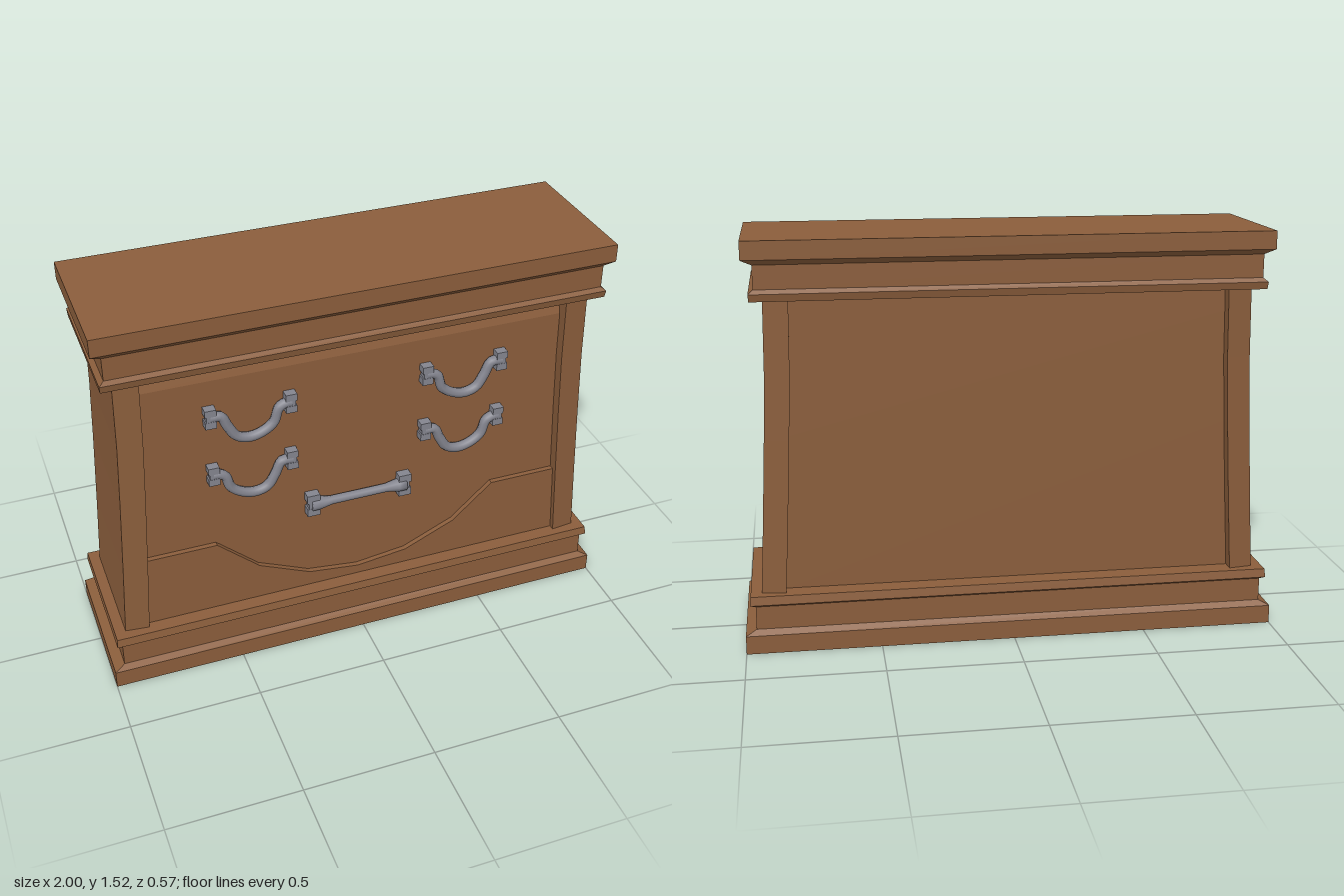
import * as THREE from 'three';

const wood = new THREE.MeshStandardMaterial({ color: 0x8b5e3c });
wood.name = 'brown wood';
const metal = new THREE.MeshStandardMaterial({ color: 0x84858f });
metal.name = 'grey metal';

// Flat-shaded solid through rings of [x, y, z], each counter-clockwise from above
function loft(rings) {
  const pos = [];
  const tri = (a, b, c) => pos.push(...a, ...b, ...c);
  const n = rings[0].length;
  for (let r = 0; r < rings.length - 1; r++) {
    for (let i = 0; i < n; i++) {
      const j = (i + 1) % n, a = rings[r], b = rings[r + 1];
      tri(a[i], a[j], b[j]);
      tri(a[i], b[j], b[i]);
    }
  }
  const low = rings[0], top = rings[rings.length - 1];
  for (let i = 1; i < n - 1; i++) {
    tri(low[0], low[i + 1], low[i]);
    tri(top[0], top[i], top[i + 1]);
  }
  const g = new THREE.BufferGeometry();
  g.setAttribute('position', new THREE.Float32BufferAttribute(pos, 3));
  g.computeVertexNormals();
  return g;
}

// Rectangle ring: half width, height, front z, back z
const rect = (x, y, f, b = -f) => [[x, y, f], [x, y, b], [-x, y, b], [-x, y, f]];

function add(parent, name, geometry, material) {
  const m = new THREE.Mesh(geometry, material);
  m.name = name;
  parent.add(m);
  return m;
}

// Outer x of the gently flared sides, from bottom to top
const flare = [[0.21, 0.937], [0.5, 0.92], [0.8, 0.904], [1.05, 0.893], [1.32, 0.888]];
const postWidth = 0.09;

// Mounting block with a waist, standing on the drawer front
function endBlock(parent, x, y, w, h) {
  for (const s of [-1, 1]) {
    const lug = add(parent, 'handleLug', new THREE.BoxGeometry(w, h * 0.36, 0.036), metal);
    lug.position.set(x, y + s * h * 0.32, 0.212);
  }
  const waist = add(parent, 'handleMount', new THREE.BoxGeometry(w * 0.75, h * 0.6, 0.034), metal);
  waist.position.set(x, y, 0.212);
}

// Drooping drawer pull; skew moves the lowest point sideways
function dropHandle(x, y, skew) {
  const g = new THREE.Group();
  g.name = 'dropHandle';
  const path = [[-0.15, 0], [-0.11, -0.002], [-0.085, -0.05], [-0.055, -0.097], [-0.012, -0.113],
    [0.04, -0.103], [0.085, -0.07], [0.105, -0.015], [0.13, 0], [0.15, 0]];
  const pts = path.map(([px, py]) => new THREE.Vector3(px * skew, py, 0.214));
  if (skew < 0) pts.reverse();
  add(g, 'pull', new THREE.TubeGeometry(new THREE.CatmullRomCurve3(pts), 32, 0.019, 8), metal);
  for (const s of [-1, 1]) endBlock(g, s * 0.148, 0, 0.042, 0.076);
  g.position.set(x, y, 0);
  return g;
}

export function createModel() {
  const root = new THREE.Group();
  root.name = 'chest';

  // Stepped base and crown
  add(root, 'base', loft([
    rect(1, 0, 0.283), rect(1, 0.07, 0.283), rect(0.96, 0.09, 0.265), rect(0.96, 0.178, 0.265),
    rect(0.98, 0.186, 0.276), rect(0.977, 0.218, 0.27),
  ]), wood);
  add(root, 'crown', loft([
    rect(0.934, 1.308, 0.27), rect(0.936, 1.335, 0.276), rect(0.918, 1.35, 0.265),
    rect(0.918, 1.436, 0.265), rect(0.957, 1.455, 0.283), rect(0.957, 1.522, 0.283),
  ]), wood);

  // Recessed body with a sloping rail at the top of the front
  add(root, 'body', loft([
    rect(0.86, 0.21, 0.195), rect(0.825, 0.8, 0.195), rect(0.82, 1.225, 0.195), rect(0.82, 1.32, 0.165, -0.195),
  ]), wood);

  // Sides ending in corner posts
  for (const s of [1, -1]) {
    const rings = flare.map(([y, x]) => {
      const ring = [[x, 0.228], [x, -0.228], [x - postWidth, -0.242], [x - postWidth, 0.238]]
        .map(([px, pz]) => [s * px, y, pz]);
      return s > 0 ? ring : ring.reverse();
    });
    add(root, s > 0 ? 'leftSide' : 'rightSide', loft(rings), wood);
  }

  // Apron with a scooped top edge
  const scoop = [[0.56, 0.515], [0.4, 0.37], [0.2, 0.28], [0, 0.255], [-0.2, 0.28], [-0.4, 0.37], [-0.56, 0.515]];
  const outline = [[-0.85, 0.21], [0.85, 0.21], [0.835, 0.515], ...scoop, [-0.835, 0.515]];
  const shape = new THREE.Shape(outline.map(([x, y]) => new THREE.Vector2(x, y)));
  const apron = add(root, 'apron', new THREE.ExtrudeGeometry(shape, { depth: 0.03, bevelEnabled: false }), wood);
  apron.position.z = 0.185;

  // Four drooping handles
  for (const s of [-1, 1]) {
    root.add(dropHandle(s * 0.41, 1.087, -s));
    root.add(dropHandle(s * 0.41, 0.84, s));
  }

  // Straight handle with flared ends
  const bar = new THREE.Group();
  bar.name = 'barHandle';
  const profile = [[0, -0.19], [0.026, -0.19], [0.026, -0.16], [0.017, -0.11],
    [0.017, 0.11], [0.026, 0.16], [0.026, 0.19], [0, 0.19]].map(([r, y]) => new THREE.Vector2(r, y));
  const rod = add(bar, 'rod', new THREE.LatheGeometry(profile, 8), metal);
  rod.rotation.z = Math.PI / 2;
  rod.position.set(0, 0.61, 0.217);
  for (const s of [-1, 1]) endBlock(bar, s * 0.184, 0.61, 0.05, 0.094);
  root.add(bar);

  return root;
}
